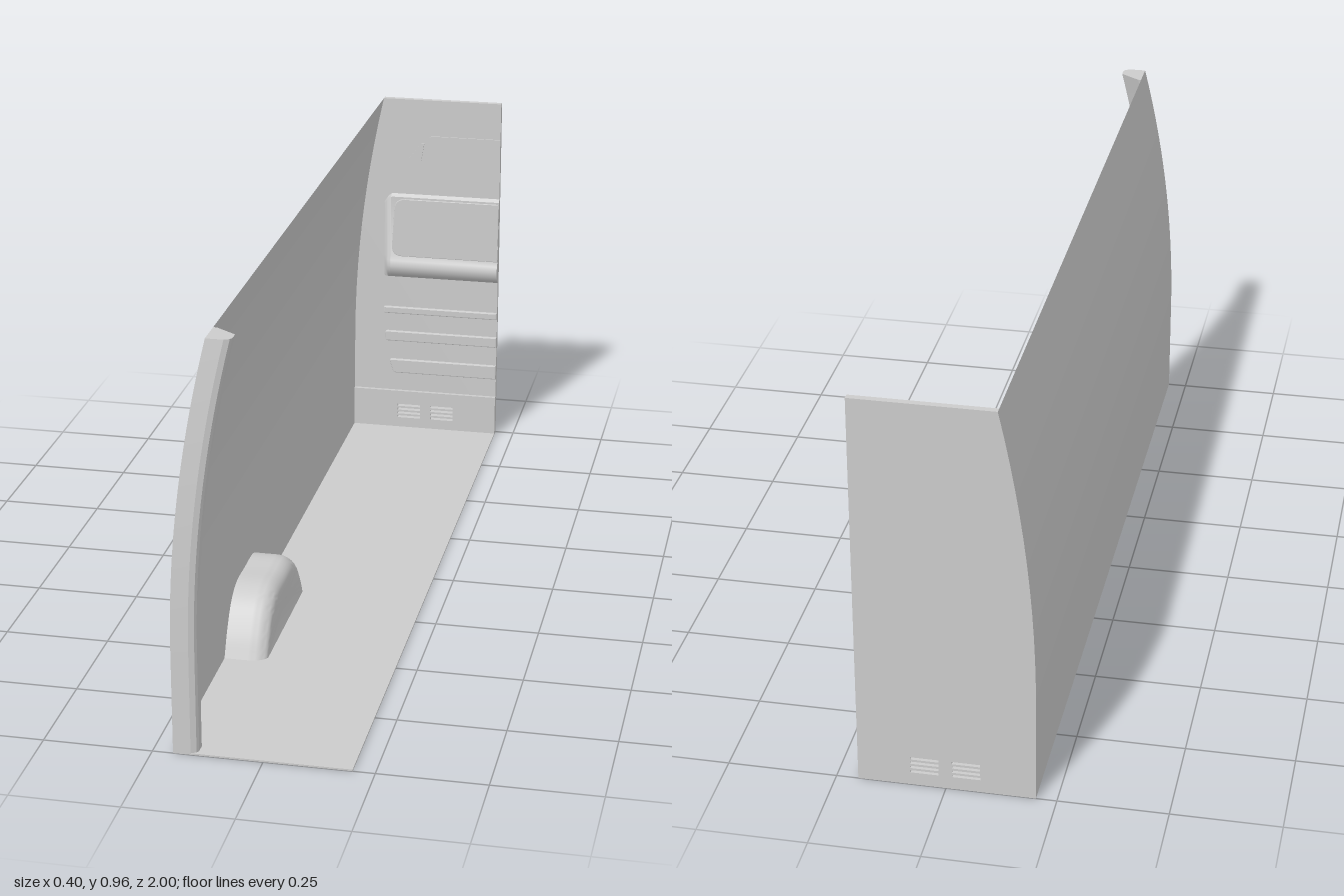
import * as THREE from 'three';
import { toCreasedNormals } from 'three/addons/utils/BufferGeometryUtils.js';

const TOP = 0.96, RIGHT = 0.2, BACK = -1, PANEL = -0.985;
const mat = new THREE.MeshStandardMaterial({ color: 0xcccccc, side: THREE.DoubleSide });

// Lean of the body side and of its front edge with height
const lean = y => Math.max(0, (y - 0.25) / 0.71) ** 2;
const wallX = y => -0.203 + 0.08 * lean(y);
const frontZ = y => 1 - 0.045 * lean(y);
const heights = Array.from({ length: 25 }, (_, i) => (TOP * i) / 24);

// Skin a list of rings of [x, y, z]; optionally close them and cap the ends
function loft(rings, { closed = false, capStart = false, capEnd = false, crease = 0.5 } = {}) {
  const n = rings[0].length, pos = rings.flat(2), idx = [];
  for (let i = 0; i < rings.length - 1; i++) {
    for (let j = 0; j < (closed ? n : n - 1); j++) {
      const a = i * n + j, b = i * n + ((j + 1) % n);
      idx.push(a, b, b + n, a, b + n, a + n);
    }
  }
  const cap = (r, flip) => {
    const c = pos.length / 3;
    for (let k = 0; k < 3; k++) pos.push(rings[r].reduce((s, p) => s + p[k], 0) / n);
    for (let j = 0; j < n; j++) {
      const a = r * n + j, b = r * n + ((j + 1) % n);
      idx.push(...(flip ? [b, a, c] : [a, b, c]));
    }
  };
  if (capStart) cap(0, true);
  if (capEnd) cap(rings.length - 1, false);
  const g = new THREE.BufferGeometry();
  g.setAttribute('position', new THREE.Float32BufferAttribute(pos, 3));
  g.setIndex(idx);
  return toCreasedNormals(g, crease);
}

// Rectangle with rounded left corners, running out to the open right edge
function tabShape(x0, x1, y0, y1, r, skew = 0) {
  const s = new THREE.Shape();
  s.moveTo(x1, y0);
  s.lineTo(x1, y1);
  s.lineTo(x0 + r + skew, y1);
  s.quadraticCurveTo(x0 + skew, y1, x0 + skew * 0.85, y1 - r);
  s.lineTo(x0 + skew * 0.15, y0 + r);
  s.quadraticCurveTo(x0, y0, x0 + r, y0);
  return s;
}

// Bulkhead outline up to a height, with the louvre slots cut through
function bulkheadShape(top) {
  const s = new THREE.Shape();
  s.moveTo(RIGHT, 0);
  s.lineTo(RIGHT, top);
  for (let i = 16; i >= 0; i--) s.lineTo(wallX((top * i) / 16), (top * i) / 16);
  for (const x of [-0.078, 0.016]) {
    for (let k = 0; k < 4; k++) {
      const y = 0.032 + k * 0.0115, h = new THREE.Path();
      h.moveTo(x, y);
      h.lineTo(x, y + 0.006);
      h.lineTo(x + 0.064, y + 0.006);
      h.lineTo(x + 0.064, y);
      h.closePath();
      s.holes.push(h);
    }
  }
  return s;
}

export function createModel() {
  const model = new THREE.Group();
  const add = (name, geometry, parent = model) => {
    const m = new THREE.Mesh(geometry, mat);
    m.name = name;
    parent.add(m);
    return m;
  };
  const slab = (shape, depth, z, bevel = 0) => new THREE.ExtrudeGeometry(shape, {
    depth: depth - bevel, bevelEnabled: bevel > 0, bevelSize: bevel, bevelOffset: -bevel,
    bevelThickness: bevel, bevelSegments: 2, curveSegments: 6,
  }).translate(0, 0, z);

  // Floor
  add('floor', new THREE.BoxGeometry(0.403, 0.004, 2).translate(-0.0015, 0.002, 0));

  // Curved side wall
  add('sideWall', loft(heights.map(y => [[wallX(y), y, BACK], [wallX(y), y, frontZ(y)]])));

  // Front pillar: one section swept up the wall's front edge
  const section = [[0, 0], [0.04, 0], [0.052, -0.006], [0.056, -0.014], [0.056, -0.036], [0.008, -0.07], [0, -0.07]];
  add('frontPillar', loft(
    heights.map(y => section.map(([dx, dz]) => [wallX(y) + dx, y, frontZ(y) + dz])),
    { closed: true, capStart: true, capEnd: true, crease: 0.45 }));

  // Wheel arch: rounded trapezoid shrinking round the inner shoulder
  const archCurve = new THREE.CatmullRomCurve3([
    [0.21, 0], [0.18, 0.06], [0.135, 0.118], [0.085, 0.143], [0, 0.145],
    [-0.085, 0.143], [-0.135, 0.118], [-0.18, 0.06], [-0.21, 0],
  ].map(([z, y]) => new THREE.Vector3(0, y, z)));
  const outline = archCurve.getPoints(40);
  const archRing = (x, fz, fy) => outline.map(p => [x, p.y * fy, 0.33 + p.z * fz]);
  const archRings = [archRing(-0.203, 1, 1)];
  for (let i = 0; i <= 8; i++) {
    const a = (i / 8) * Math.PI / 2, k = 1 - Math.cos(a);
    archRings.push(archRing(-0.147 + 0.044 * Math.sin(a), 1 - 0.13 * k, 1 - 0.25 * k));
  }
  add('wheelArch', loft(archRings, { closed: true, capEnd: true, crease: 0.6 }));

  // Rear bulkhead with its pressed relief
  const bulkhead = new THREE.Group();
  bulkhead.name = 'rearBulkhead';
  model.add(bulkhead);
  add('bulkheadPanel', slab(bulkheadShape(TOP), 0.015, BACK), bulkhead);
  add('kickPanel', slab(bulkheadShape(0.112), 0.01, PANEL), bulkhead);

  // Large bulge with a ledge along its lower edge
  const bulge = [[0.692, 0], [0.684, 0.008], [0.515, 0.013], [0.503, 0.022], [0.488, 0.026],
    [0.473, 0.023], [0.458, 0.01], [0.45, 0]];
  const bulgeRings = [];
  for (let i = 0; i <= 8; i++) {
    const f = Math.sin((i / 8) * Math.PI / 2), x = -0.12 + 0.025 * (i / 8);
    bulgeRings.push(bulge.map(([y, h]) => [x, y > 0.6 ? y - 0.025 * (1 - f) : y, PANEL + h * f]));
  }
  bulgeRings.push(bulge.map(([y, h]) => [RIGHT, y, PANEL + h]));
  add('bulge', loft(bulgeRings, { crease: 0.7 }), bulkhead);
  add('bulgeEnd', new THREE.ShapeGeometry(new THREE.Shape(bulge.map(([y, h]) => new THREE.Vector2(h, y))))
    .rotateY(-Math.PI / 2).translate(RIGHT, 0, PANEL), bulkhead);

  // Raised field on the bulge, following its slope
  const field = add('bulgeField', slab(tabShape(-0.098, RIGHT, 0, 0.165, 0.03, 0.008), 0.004, -0.002, 0.002), bulkhead);
  field.position.set(0, 0.514, PANEL + 0.0125);
  field.rotation.x = -0.03;

  // Stiffening ribs
  const ribs = [[-0.12, 0.342, 0.362, 0.004, 0], [-0.116, 0.26, 0.29, 0.008, 0], [-0.092, 0.165, 0.206, 0.008, -0.012]];
  for (const [x, y0, y1, r, skew] of ribs) {
    add('rib', slab(tabShape(x, RIGHT, y0, y1, r, skew), 0.007, PANEL, 0.003), bulkhead);
  }

  // Upper window pressing and the small triangle beside it
  add('upperPressing', slab(tabShape(-0.006, RIGHT, 0.79, 0.86, 0.008, 0.011), 0.004, PANEL), bulkhead);
  const tri = new THREE.Shape([[-0.056, 0.79], [-0.018, 0.79], [-0.01, 0.838], [-0.018, 0.838]]
    .map(p => new THREE.Vector2(...p)));
  add('cornerPressing', slab(tri, 0.004, PANEL), bulkhead);

  return model;
}
